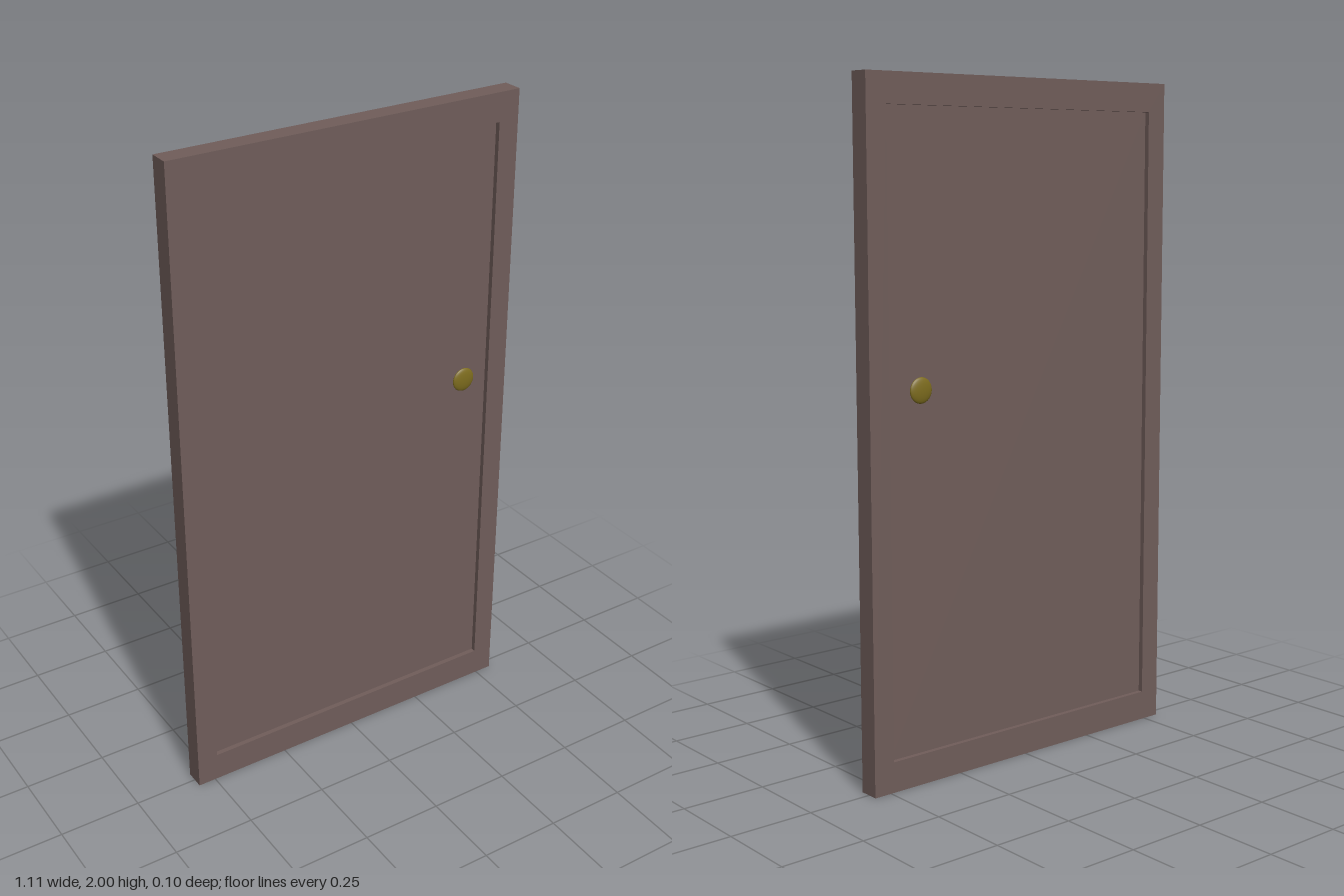
import * as THREE from 'three';

export function createModel() {
  const wood = new THREE.MeshStandardMaterial({ color: 0x705d5a });
  wood.name = 'brown wood';
  const brass = new THREE.MeshStandardMaterial({ color: 0x7d6c1e });
  brass.name = 'dull brass';

  const W = 1.11, H = 2, T = 0.062;                                  // door slab
  const inner = { x: 0.49, bottom: 0.09, top: 1.914, half: 0.016 };  // recessed panel

  const door = new THREE.Group();
  door.name = 'door';
  const add = (name, geometry, material, parent = door) => {
    const mesh = new THREE.Mesh(geometry, material);
    mesh.name = name;
    parent.add(mesh);
    return mesh;
  };
  const trace = (path, x, y0, y1) =>
    path.moveTo(-x, y0).lineTo(x, y0).lineTo(x, y1).lineTo(-x, y1).closePath();

  // Raised border around the panel
  const outline = trace(new THREE.Shape(), W / 2, 0, H);
  outline.holes.push(trace(new THREE.Path(), inner.x, inner.bottom, inner.top));
  const border = new THREE.ExtrudeGeometry(outline, { depth: T, bevelEnabled: false });
  add('frame', border.translate(0, 0, -T / 2), wood);

  // Panel, set back on both faces
  const panel = new THREE.BoxGeometry(inner.x * 2, inner.top - inner.bottom, inner.half * 2);
  add('panel', panel, wood).position.y = (inner.top + inner.bottom) / 2;

  // Flattened round knob on a short stem, one on each face
  for (const side of [1, -1]) {
    const handle = new THREE.Group();
    handle.name = side > 0 ? 'frontHandle' : 'backHandle';
    handle.position.set(0.39, 1.14, 0);
    handle.rotation.y = side > 0 ? 0 : Math.PI;
    door.add(handle);

    const stem = new THREE.CylinderGeometry(0.012, 0.012, 0.027, 20);
    add('stem', stem.rotateX(Math.PI / 2), brass, handle).position.z = 0.0285;

    const knob = new THREE.SphereGeometry(0.037, 32, 16).rotateX(Math.PI / 2).scale(1, 1, 0.25);
    add('knob', knob, brass, handle).position.z = 0.041;
  }
  return door;
}
